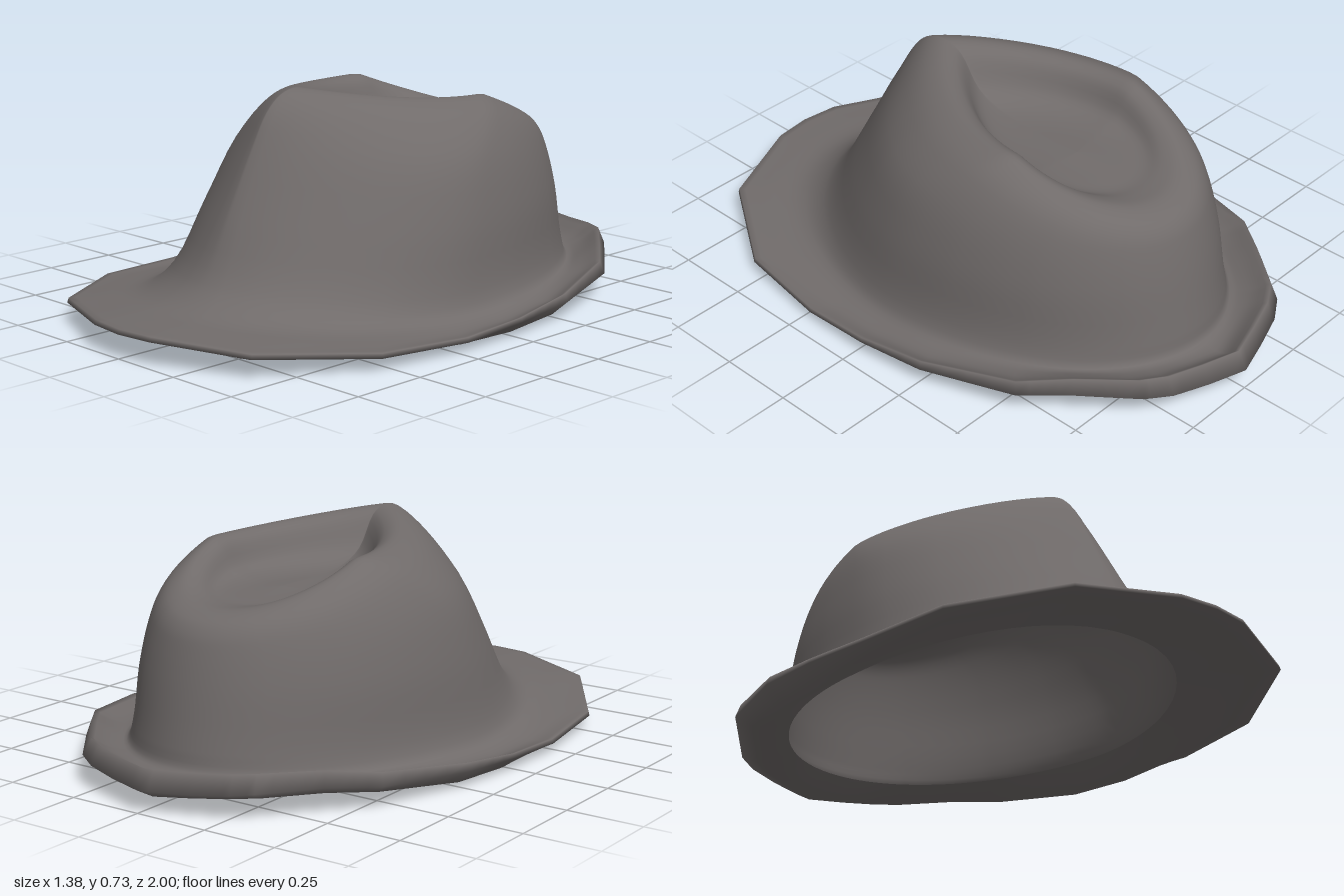
import * as THREE from 'three';

// Half outline of the brim from front to back: x, z, height of the edge, height of the underside
const OUTLINE = [
  [0, 1, 0.09, 0.07], [0.13, 0.985, 0.09, 0.07], [0.43, 0.86, 0.075, 0.058],
  [0.64, 0.54, 0.055, 0.03], [0.685, 0.22, 0.045, 0.008], [0.69, -0.02, 0.06, 0],
  [0.67, -0.26, 0.085, 0.006], [0.57, -0.57, 0.115, 0.035], [0.46, -0.71, 0.135, 0.046],
  [0.33, -0.87, 0.14, 0.046], [0.25, -0.92, 0.135, 0.042], [0.13, -0.96, 0.13, 0.032],
  [0, -1, 0.13, 0.024],
];

// Crown rings from base to dent: zFront, zBack, halfWidth, zWidest, pinch, yFront, ySide, yBack
const CROWN = [
  [0.77, -0.83, 0.555, 0, 0.95, 0.105, 0.06, 0.09],
  [0.67, -0.815, 0.527, 0, 1.1, 0.17, 0.12, 0.15],
  [0.565, -0.78, 0.5, -0.05, 1.35, 0.36, 0.32, 0.32],
  [0.46, -0.75, 0.455, -0.1, 1.55, 0.56, 0.5, 0.43],
  [0.4, -0.73, 0.39, -0.2, 1.65, 0.66, 0.61, 0.48],
  [0.34, -0.7, 0.335, -0.25, 1.7, 0.71, 0.655, 0.515],
  [0.27, -0.64, 0.28, -0.28, 1.75, 0.725, 0.672, 0.54],
  [0.2, -0.58, 0.24, -0.28, 1.8, 0.7, 0.65, 0.54],
  [0.12, -0.52, 0.2, -0.28, 1.8, 0.6, 0.575, 0.535],
  [0, -0.45, 0.12, -0.28, 1.5, 0.555, 0.55, 0.54],
  [-0.3, -0.3, 0, -0.3, 1, 0.55, 0.55, 0.55],
];
const OPENING = [0.67, -0.79, 0.515, 0, 0.95, 0.1, 0.06, 0.085];

// Point of an egg-shaped ring at angle t (0 = front, PI = back)
function ringPoint([zf, zb, w, cz, pinch, yf, ys, yb], t) {
  const c = Math.cos(t), s = Math.max(0, Math.sin(t));
  const x = w * Math.pow(s, c > 0 ? pinch : 1);
  const z = cz + c * (c > 0 ? zf - cz : cz - zb);
  const y = c > 0 ? ys + c * c * (yf - ys) : ys - c * (yb - ys);
  return new THREE.Vector3(x, y, z);
}

// Cross-section at one outline point: opening, under brim, rim, then up the crown to the dent
function section(x, z, edgeY, underY) {
  const t = Math.atan2(x / 0.69, z);
  const back = Math.max(0, -Math.cos(t));
  const rise = edgeY - underY;
  const at = (k, y) => new THREE.Vector3(x * k, y, z * k);
  const under = [
    ringPoint(OPENING, t),
    at(0.88, underY),
    at(0.93, underY + 0.08 * rise),
    at(1, edgeY - 0.015 - 0.045 * back),
  ];
  const upper = new THREE.CatmullRomCurve3([
    at(0.995 - 0.025 * back, edgeY),
    at(0.9, underY + 0.015 + 0.4 * rise),
    ...CROWN.map((r) => ringPoint(r, t)),
  ]);
  const n = CROWN.length + 1;
  const top = [];
  for (let i = 0; i <= n * 4; i++) top.push(upper.getPoint(i / (n * 4)));
  return [...under, ...top];
}

function buildSections() {
  const half = [];
  const SUB = 4;
  for (let i = 0; i < OUTLINE.length - 1; i++) {
    for (let k = 0; k < SUB; k++) {
      const p = OUTLINE[i].map((v, j) => v + (OUTLINE[i + 1][j] - v) * k / SUB);
      half.push(section(...p));
    }
  }
  half.push(section(...OUTLINE[OUTLINE.length - 1]));
  // Mirror to the other side, leaving out the front and back seams
  const mirrored = half.slice(1, -1).reverse()
    .map((s) => s.map((p) => new THREE.Vector3(-p.x, p.y, p.z)));
  return [...half, ...mirrored];
}

export function createModel() {
  const group = new THREE.Group();
  group.name = 'hat';
  const felt = new THREE.MeshStandardMaterial({ color: 0x706b6a, side: THREE.DoubleSide });
  felt.name = 'greyFelt';

  const sections = buildSections();
  const count = sections.length, rows = sections[0].length;
  const positions = sections.flatMap((s) => s.flatMap((p) => [p.x, p.y, p.z]));

  // Faces between two rows of the loft
  const faces = (from, to) => {
    const index = [];
    for (let i = 0; i < count; i++) {
      const a = i * rows, b = ((i + 1) % count) * rows;
      for (let j = from; j < to; j++) {
        index.push(a + j, b + j, b + j + 1);
        if (j < rows - 2) index.push(a + j, b + j + 1, a + j + 1);
      }
    }
    return index;
  };

  // Normals come from the whole loft, so brim and crown blend smoothly
  const whole = new THREE.BufferGeometry();
  whole.setAttribute('position', new THREE.Float32BufferAttribute(positions, 3));
  whole.setIndex(faces(0, rows - 1));
  whole.computeVertexNormals();

  const addPart = (name, from, to) => {
    const geometry = whole.clone();
    geometry.setIndex(faces(from, to));
    const mesh = new THREE.Mesh(geometry, felt);
    mesh.name = name;
    group.add(mesh);
  };
  const base = 4 + 2 * 4; // row where the brim meets the crown
  addPart('brim', 0, base);
  addPart('crown', base, rows - 1);
  return group;
}
